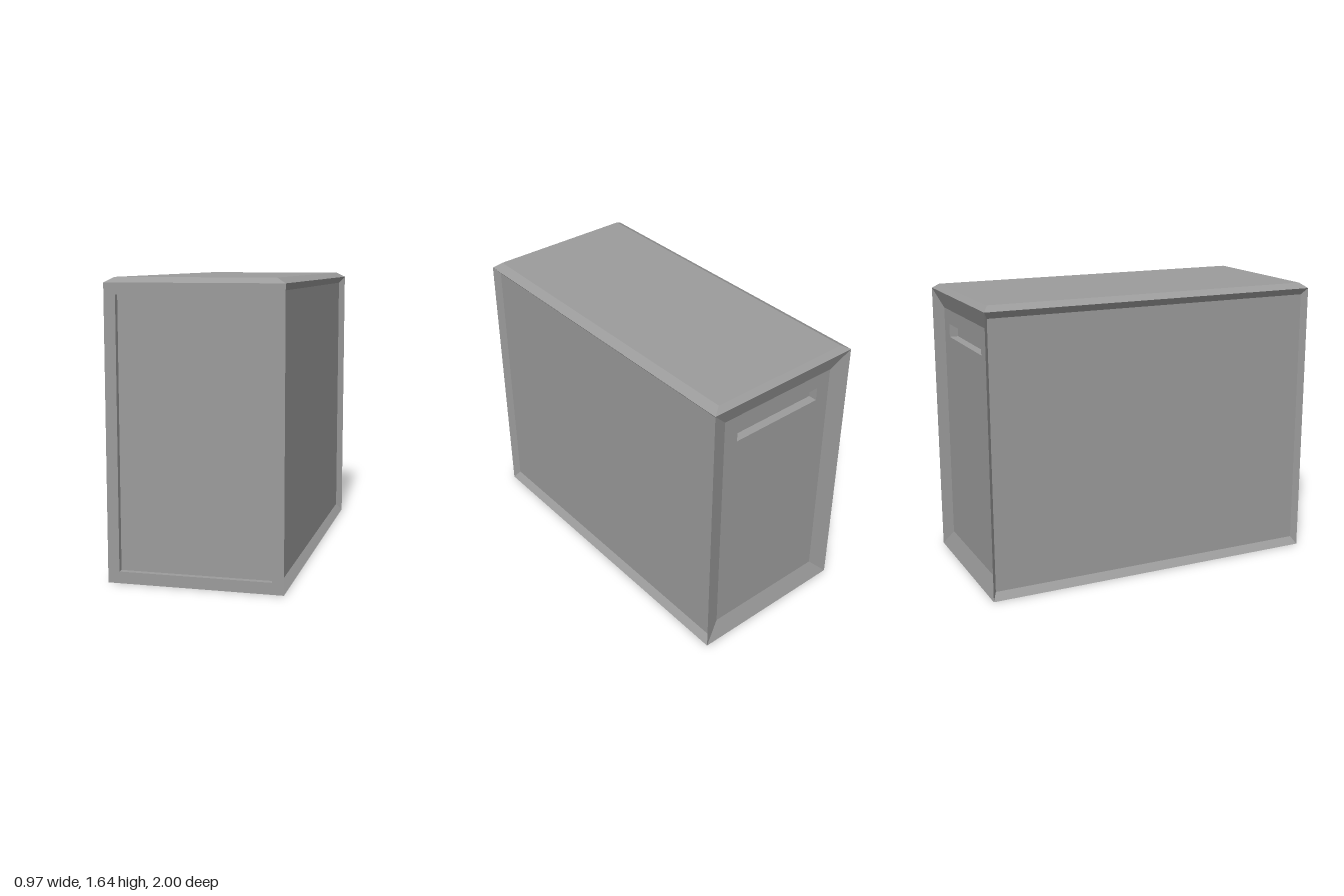
import * as THREE from 'three';

const HALF_W = 0.485, HALF_D = 1, SHOULDER = 1.615, TOP = 1.643;

// Skin through a stack of rectangular rings [halfU, v0, v1, w], closed by a flat cap.
// u is right, v is up and w is outward.
function ringSkin(rings) {
  const corners = ([u, v0, v1, w]) => [[-u, v0, w], [u, v0, w], [u, v1, w], [-u, v1, w]];
  const points = [];
  const quad = (a, b, c, d) => points.push(...a, ...b, ...c, ...a, ...c, ...d);
  for (let r = 0; r < rings.length - 1; r++) {
    const outer = corners(rings[r]), inner = corners(rings[r + 1]);
    for (let i = 0; i < 4; i++) {
      const j = (i + 1) % 4;
      quad(outer[i], outer[j], inner[j], inner[i]);
    }
  }
  quad(...corners(rings[rings.length - 1]));
  const geometry = new THREE.BufferGeometry();
  geometry.setAttribute('position', new THREE.Float32BufferAttribute(points, 3));
  geometry.computeVertexNormals();
  return geometry;
}

export function createModel() {
  const group = new THREE.Group();
  group.name = 'computerCase';
  const material = new THREE.MeshStandardMaterial({ color: 0x9b9b9b, flatShading: true });

  const addFace = (name, rings, rotX = 0, rotY = 0) => {
    const mesh = new THREE.Mesh(ringSkin(rings), material);
    mesh.name = name;
    mesh.rotation.set(rotX, rotY, 0);
    group.add(mesh);
  };

  // Front: flat border with a straight-walled recess
  addFace('frontPanel', [
    [HALF_W, 0, SHOULDER, HALF_D],
    [0.421, 0.065, 1.553, HALF_D],
    [0.421, 0.065, 1.553, HALF_D - 0.033],
  ]);

  // Back: sloped dish with a shallow handle slot near the top
  addFace('backPanel', [
    [HALF_W, 0, SHOULDER, HALF_D],
    [0.38, 0.107, 1.51, HALF_D - 0.04],
    [0.29, 1.35, 1.427, HALF_D - 0.04],
    [0.29, 1.35, 1.427, HALF_D - 0.09],
  ], 0, Math.PI);

  // Sides: narrow sloped frames around sunken panels
  for (const [name, side] of [['leftPanel', 1], ['rightPanel', -1]]) {
    addFace(name, [
      [HALF_D, 0, SHOULDER, HALF_W],
      [0.975, 0.042, 1.575, HALF_W - 0.036],
    ], 0, side * Math.PI / 2);
  }

  // Lid with bevelled edges, and the flat base
  addFace('topLid', [
    [HALF_W, -HALF_D, HALF_D, SHOULDER],
    [0.435, -0.968, 0.968, TOP],
  ], -Math.PI / 2);
  addFace('base', [[HALF_W, -HALF_D, HALF_D, 0]], Math.PI / 2);

  return group;
}
